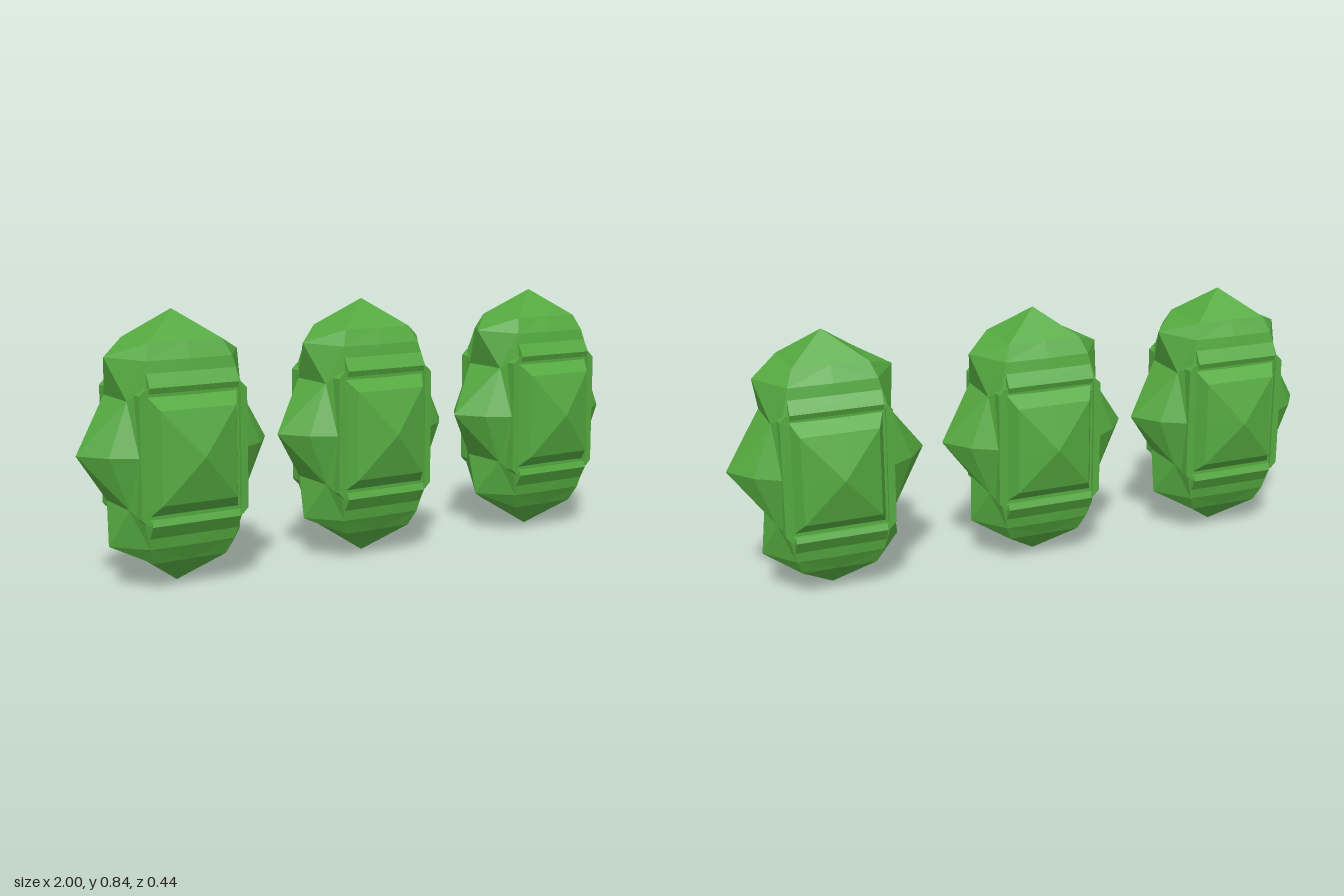
import * as THREE from 'three';

const material = new THREE.MeshStandardMaterial({ color: 0x55aa40, flatShading: true });

// Mirrors the triangles of one octant into all eight, each facing away from the centre
function mirroredOctant(points, triangles) {
  const positions = [];
  const normal = new THREE.Vector3(), middle = new THREE.Vector3(), tri = new THREE.Triangle();
  for (const sx of [1, -1]) for (const sy of [1, -1]) for (const sz of [1, -1]) {
    for (const names of triangles) {
      let [a, b, c] = names.split(' ').map(n => {
        const [x, y, z] = points[n];
        return new THREE.Vector3(x * sx, y * sy, z * sz);
      });
      tri.set(a, b, c);
      tri.getNormal(normal);
      tri.getMidpoint(middle);
      if (normal.dot(middle) < 0) [b, c] = [c, b];
      for (const v of [a, b, c]) positions.push(v.x, v.y, v.z);
    }
  }
  const geometry = new THREE.BufferGeometry();
  geometry.setAttribute('position', new THREE.Float32BufferAttribute(positions, 3));
  geometry.computeVertexNormals();
  return geometry;
}

// Faceted body with pointed ends, four shoulders and two side spikes
function bodyGeometry() {
  const points = {
    tip: [0, 0.418, 0], crown: [0, 0.33, 0.098], crownEdge: [0.12, 0.33, 0.098], crownSide: [0.12, 0.33, 0],
    brow: [0, 0.28, 0.125], browEdge: [0.14, 0.28, 0.121],
    ledge: [0, 0.2, 0.138], ledgeEdge: [0.162, 0.195, 0.136],
    shoulder: [0.22, 0.285, 0], waist: [0.187, 0.162, 0.085], waistSide: [0.187, 0.162, 0],
    spike: [0.315, 0, 0], spikeEdge: [0.25, 0, 0.09],
    wall: [0.175, 0, 0.138], floor: [0, 0, 0.138],
  };
  return mirroredOctant(points, [
    'tip crown crownEdge', 'tip crownEdge crownSide', 'crownSide crownEdge shoulder',
    'crown brow browEdge', 'crown browEdge crownEdge',
    'brow ledge ledgeEdge', 'brow ledgeEdge browEdge',
    'crownEdge browEdge shoulder', 'browEdge waist shoulder', 'browEdge ledgeEdge waist',
    'shoulder waist waistSide', 'waistSide waist spike', 'waist spikeEdge spike',
    'ledgeEdge wall waist', 'waist wall spikeEdge',
    'ledge floor wall', 'ledge wall ledgeEdge',
  ]);
}

// Bevelled rectangular stone rising to a point
function stoneGeometry() {
  const points = {
    baseMid: [0, 0.178, 0.135], base: [0.145, 0.178, 0.135], baseSide: [0.145, 0, 0.135],
    girdleMid: [0, 0.14, 0.178], girdle: [0.122, 0.14, 0.178], girdleSide: [0.122, 0, 0.178],
    apex: [0, 0, 0.219],
  };
  return mirroredOctant(points, [
    'baseMid base girdle', 'baseMid girdle girdleMid',
    'base baseSide girdleSide', 'base girdleSide girdle',
    'girdleMid girdle apex', 'girdle girdleSide apex',
  ]);
}

// Raised rim with cut corners around the stone
function frameGeometry() {
  const w = 0.175, h = 0.203, cut = 0.02;
  const shape = new THREE.Shape([
    [w, -h + cut], [w, h - cut], [w - cut, h], [cut - w, h],
    [-w, h - cut], [-w, -h + cut], [cut - w, -h], [w - cut, -h],
  ].map(p => new THREE.Vector2(...p)));
  shape.holes.push(new THREE.Path([
    [-0.152, -0.187], [-0.152, 0.187], [0.152, 0.187], [0.152, -0.187],
  ].map(p => new THREE.Vector2(...p))));
  return new THREE.ExtrudeGeometry(shape, { depth: 0.037, bevelEnabled: false }).translate(0, 0, 0.11);
}

// Sloped lip above the rim, profile drawn as (z, y) and extruded along x
function lipGeometry() {
  const profile = new THREE.Shape([
    [0.1, 0.187], [0.148, 0.187], [0.155, 0.205], [0.131, 0.245], [0.1, 0.245],
  ].map(p => new THREE.Vector2(...p)));
  return new THREE.ExtrudeGeometry(profile, { depth: 0.29, bevelEnabled: false })
    .translate(0, 0, -0.145).rotateY(-Math.PI / 2);
}

export function createModel() {
  const model = new THREE.Group();
  model.name = 'gems';
  const body = bodyGeometry(), stone = stoneGeometry(), frame = frameGeometry(), lip = lipGeometry();

  const add = (parent, name, geometry) => {
    const mesh = new THREE.Mesh(geometry, material);
    mesh.name = name;
    parent.add(mesh);
    return mesh;
  };

  [-0.685, -0.01, 0.685].forEach((x, i) => {
    const gem = new THREE.Group();
    gem.name = `gem${i + 1}`;
    gem.position.set(x, 0.418, 0);
    add(gem, 'body', body);
    add(gem, 'stones', stone);
    // Rim and lips on the front and the back
    for (const [side, turn] of [['front', 0], ['back', Math.PI]]) {
      const face = new THREE.Group();
      face.name = `${side}Setting`;
      face.rotation.y = turn;
      add(face, 'frame', frame);
      add(face, 'upperLip', lip);
      add(face, 'lowerLip', lip).rotation.z = Math.PI;
      gem.add(face);
    }
    model.add(gem);
  });
  return model;
}
